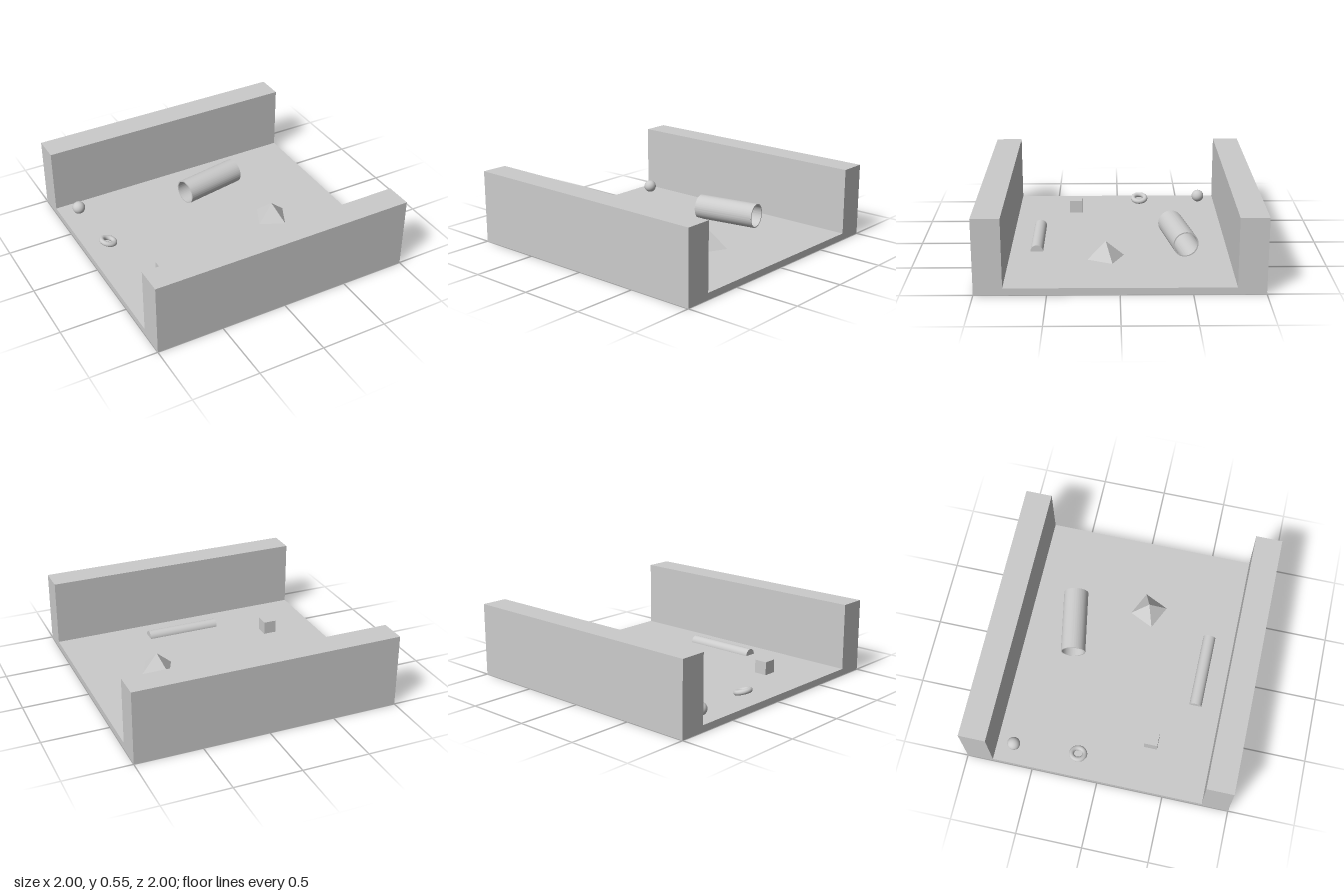
import * as THREE from 'three';
import { toCreasedNormals } from 'three/addons/utils/BufferGeometryUtils.js';

export function createModel() {
  const model = new THREE.Group();
  const smooth = new THREE.MeshStandardMaterial({ color: 0xcccccc });
  const faceted = new THREE.MeshStandardMaterial({ color: 0xcccccc, flatShading: true });
  const floorTop = 0.05;

  const add = (name, geometry, x, y, z, material = smooth) => {
    const mesh = new THREE.Mesh(geometry, material);
    mesh.name = name;
    mesh.position.set(x, y, z);
    model.add(mesh);
    return mesh;
  };

  // Tray: floor slab with a thick wall along the front and back
  add('floor', new THREE.BoxGeometry(2, floorTop, 2), 0, floorTop / 2, 0);
  for (const [name, side] of [['frontWall', 1], ['backWall', -1]]) {
    add(name, new THREE.BoxGeometry(2, 0.5, 0.2), 0, floorTop + 0.25, side * 0.9);
  }

  // Small solids lying on the floor
  add('ball', new THREE.SphereGeometry(0.049, 32, 20), -0.86, floorTop + 0.045, -0.67);
  add('cube', new THREE.BoxGeometry(0.1, 0.1, 0.1), -0.615, floorTop + 0.05, 0.34);

  // Ring leaning down towards +x
  const ringGeometry = new THREE.TorusGeometry(0.05, 0.019, 20, 40).rotateX(Math.PI / 2);
  add('ring', ringGeometry, -0.83, floorTop + 0.035, -0.18).rotation.z = -0.3;

  // Square pyramid, turned on the floor
  const pyramid = add('pyramid', new THREE.ConeGeometry(0.141, 0.125, 4), 0.428, floorTop + 0.0625, 0.098, faceted);
  pyramid.rotation.y = 0.345;

  // Half-round bar, flat side down
  const bar = new THREE.CylinderGeometry(0.047, 0.047, 0.57, 24, 1, false, 0, Math.PI).rotateZ(Math.PI / 2);
  add('halfRoundBar', bar, 0.022, floorTop, 0.607);

  // Open thin-walled pipe
  const length = 0.493;
  const section = new THREE.Shape().absarc(0, 0, 0.0945, 0, Math.PI * 2, false);
  section.holes.push(new THREE.Path().absarc(0, 0, 0.0855, 0, Math.PI * 2, true));
  const pipeGeometry = new THREE.ExtrudeGeometry(section, { depth: length, bevelEnabled: false, curveSegments: 48 });
  pipeGeometry.translate(0, 0, -length / 2);
  const pipe = add('pipe', toCreasedNormals(pipeGeometry, 0.6), 0.175, floorTop + 0.0925, -0.441);
  pipe.rotation.y = 1.75;

  return model;
}
